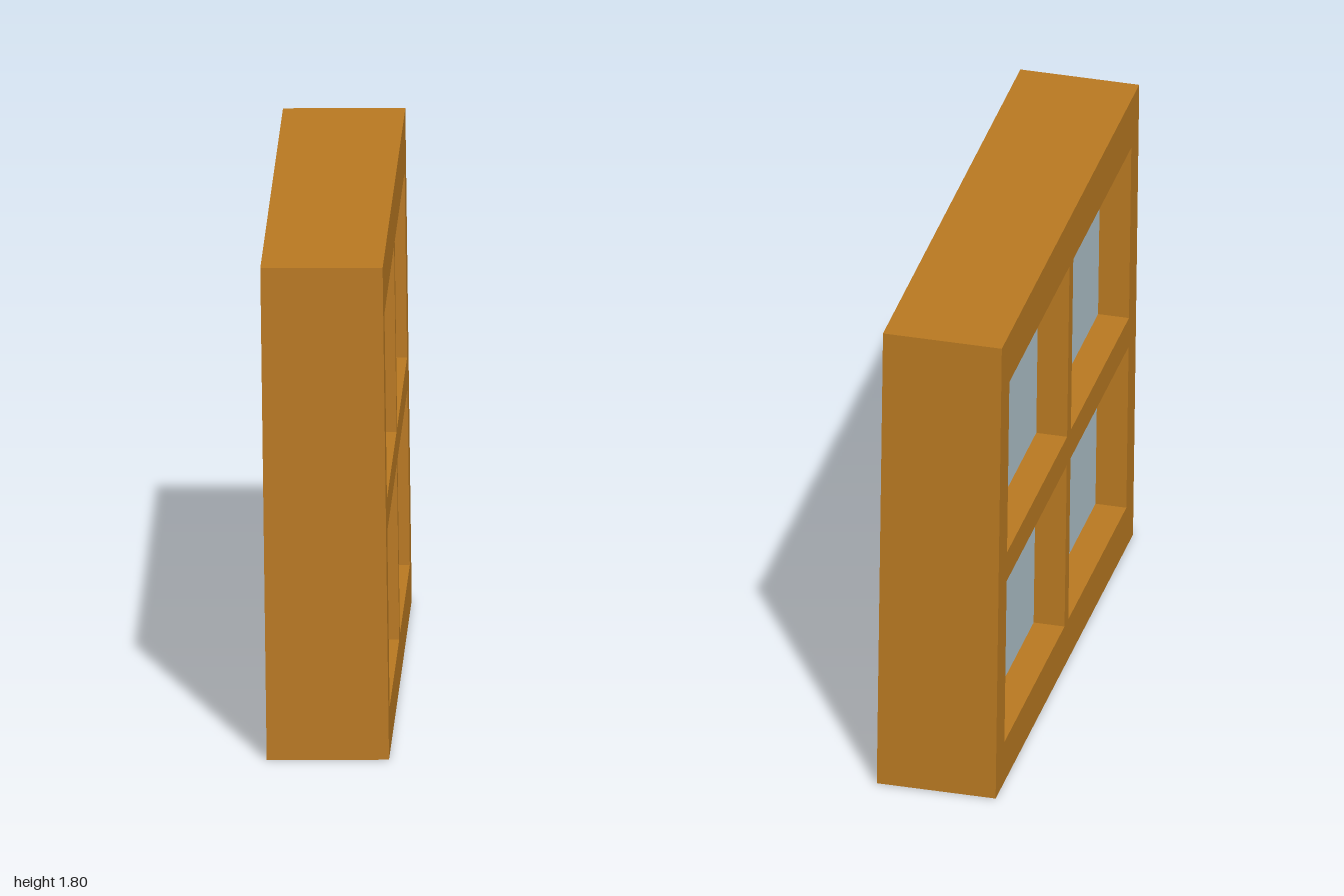
import * as THREE from 'three';

const DEPTH = 0.429, HEIGHT = 1.795;

// Adds a rectangle outline to a shape or path
function rect(path, x0, x1, y0, y1) {
  path.moveTo(x0, y0);
  path.lineTo(x1, y0);
  path.lineTo(x1, y1);
  path.lineTo(x0, y1);
  path.closePath();
  return path;
}

export function createModel() {
  const wood = new THREE.MeshStandardMaterial({ color: 0xb97921 });
  wood.name = 'wood';
  const glass = new THREE.MeshStandardMaterial({ color: 0xb0c3cb });
  glass.name = 'paleGlass';

  const model = new THREE.Group();
  model.name = 'window';

  // The window leans very slightly about its centre
  const body = new THREE.Group();
  body.name = 'leaningWindow';
  body.position.y = 0.9;
  body.rotation.z = 0.0125;
  model.add(body);

  const columns = [[-0.895, -0.05], [0.005, 0.88]];
  const rows = [[-0.735, -0.093], [0.022, 0.702]];

  // Frame outline, drawn facing +z then turned to face +x
  const outline = rect(new THREE.Shape(), -1, 1, -HEIGHT / 2, HEIGHT / 2);

  // Four openings, each with a recessed pane
  for (const [x0, x1] of columns) {
    for (const [y0, y1] of rows) {
      outline.holes.push(rect(new THREE.Path(), x0, x1, y0, y1));
      const pane = new THREE.Mesh(new THREE.BoxGeometry(0.18, y1 - y0, x1 - x0), glass);
      pane.name = 'pane';
      pane.position.set(-0.013, (y0 + y1) / 2, -(x0 + x1) / 2);
      body.add(pane);
    }
  }

  const geometry = new THREE.ExtrudeGeometry(outline, { depth: DEPTH, bevelEnabled: false });
  geometry.translate(0, 0, -DEPTH / 2).rotateY(Math.PI / 2);
  const frame = new THREE.Mesh(geometry, wood);
  frame.name = 'frame';
  body.add(frame);

  return model;
}
